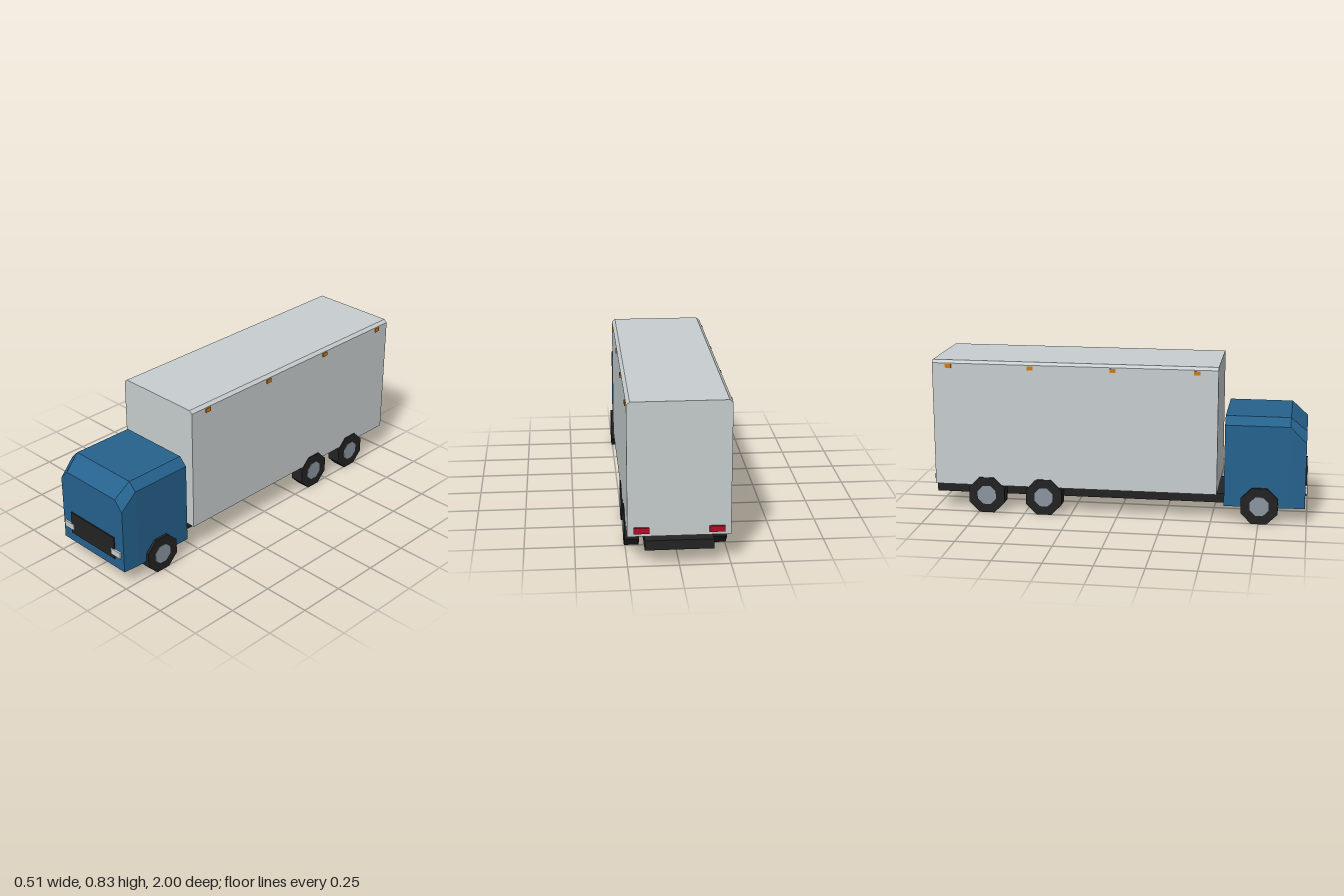
import * as THREE from 'three';

const mat = (name, color) => {
  const m = new THREE.MeshStandardMaterial({ color });
  m.name = name;
  return m;
};

export function createModel() {
  const truck = new THREE.Group();
  truck.name = 'boxTruck';
  const blue = mat('cabBlue', 0x25628d);
  const pale = mat('paleGrey', 0xc8ced0);
  const black = mat('black', 0x232323);
  const steel = mat('hubSteel', 0x8b959f);
  const amber = mat('amber', 0xd07c12);
  const red = mat('tailRed', 0xb80a26);

  const add = (name, geometry, material, parent = truck) => {
    const mesh = new THREE.Mesh(geometry, material);
    mesh.name = name;
    parent.add(mesh);
    return mesh;
  };
  // Box given by its extents on each axis
  const box = (name, material, [x0, x1], [y0, y1], [z0, z1]) =>
    add(name, new THREE.BoxGeometry(x1 - x0, y1 - y0, z1 - z0), material)
      .position.set((x0 + x1) / 2, (y0 + y1) / 2, (z0 + z1) / 2);

  // Chassis
  box('chassis', black, [-0.167, 0.167], [0.083, 0.133], [-1, 0.92]);

  // Cargo box: chamfered section extruded along z
  const section = (w, top, bottom, cx, cy) => [
    [-w, bottom], [w, bottom], [w, top - cy], [w - cx, top], [-w + cx, top], [-w, top - cy],
  ];
  const shape = new THREE.Shape(section(0.25, 0.827, 0.15, 0.017, 0.015).map(p => new THREE.Vector2(...p)));
  const cargo = new THREE.ExtrudeGeometry(shape, { depth: 1.515, bevelEnabled: false });
  cargo.translate(0, 0, -0.985);
  add('cargoBox', cargo, pale);

  // Cab: three chamfered sections, the front one lower and narrower
  const rings = [
    [0.567, section(0.24, 0.567, 0.088, 0.042, 0.042)],
    [0.905, section(0.24, 0.567, 0.088, 0.042, 0.042)],
    [0.99, section(0.232, 0.493, 0.088, 0.049, 0.053)],
  ].map(([z, pts]) => pts.map(([x, y]) => [x, y, z]));
  const pos = [];
  const tri = (...corners) => corners.forEach(c => pos.push(...c));
  for (let r = 0; r < 2; r++) {
    for (let i = 0; i < 6; i++) {
      const j = (i + 1) % 6;
      const [a, b, c, d] = [rings[r][i], rings[r][j], rings[r + 1][j], rings[r + 1][i]];
      tri(a, b, c);
      tri(a, c, d);
    }
  }
  for (let i = 1; i < 5; i++) {
    tri(rings[2][0], rings[2][i], rings[2][i + 1]);
    tri(rings[0][0], rings[0][i + 1], rings[0][i]);
  }
  const cab = new THREE.BufferGeometry();
  cab.setAttribute('position', new THREE.Float32BufferAttribute(pos, 3));
  cab.computeVertexNormals();
  add('cab', cab, blue);

  // Grille
  box('grille', black, [-0.167, 0.167], [0.14, 0.265], [0.988, 0.996]);

  // Octagonal tyre and hub, flat side down
  const disc = (radius, width) => {
    const g = new THREE.CylinderGeometry(radius, radius, width, 8).toNonIndexed();
    g.rotateZ(Math.PI / 2).rotateX(Math.PI / 8);
    g.computeVertexNormals();
    return g;
  };
  const tyre = disc(0.1045, 0.073);
  const hub = disc(0.054, 0.02);

  for (const side of [-1, 1]) {
    const label = side > 0 ? 'left' : 'right';
    const span = (a, b) => (side > 0 ? [a, b] : [-b, -a]);

    box(label + 'Headlight', pale, span(0.145, 0.215), [0.163, 0.197], [0.988, 1]);
    box(label + 'TailLight', red, span(0.145, 0.22), [0.167, 0.197], [-0.996, -0.983]);

    // Side marker lamps
    for (const z of [0.42, -0.02, -0.458, -0.898]) {
      box(label + 'Marker', amber, span(0.248, 0.255), [0.786, 0.807], [z - 0.016, z + 0.016]);
    }

    // Wheels: one front axle, two rear axles
    for (const z of [0.753, -0.394, -0.705]) {
      const wheel = new THREE.Group();
      wheel.name = label + (z > 0 ? 'FrontWheel' : 'RearWheel');
      wheel.position.set(side * 0.2185, 0.0965, z);
      add('tyre', tyre, black, wheel);
      add('hub', hub, steel, wheel).position.x = side * 0.0285;
      truck.add(wheel);
    }
  }
  return truck;
}
